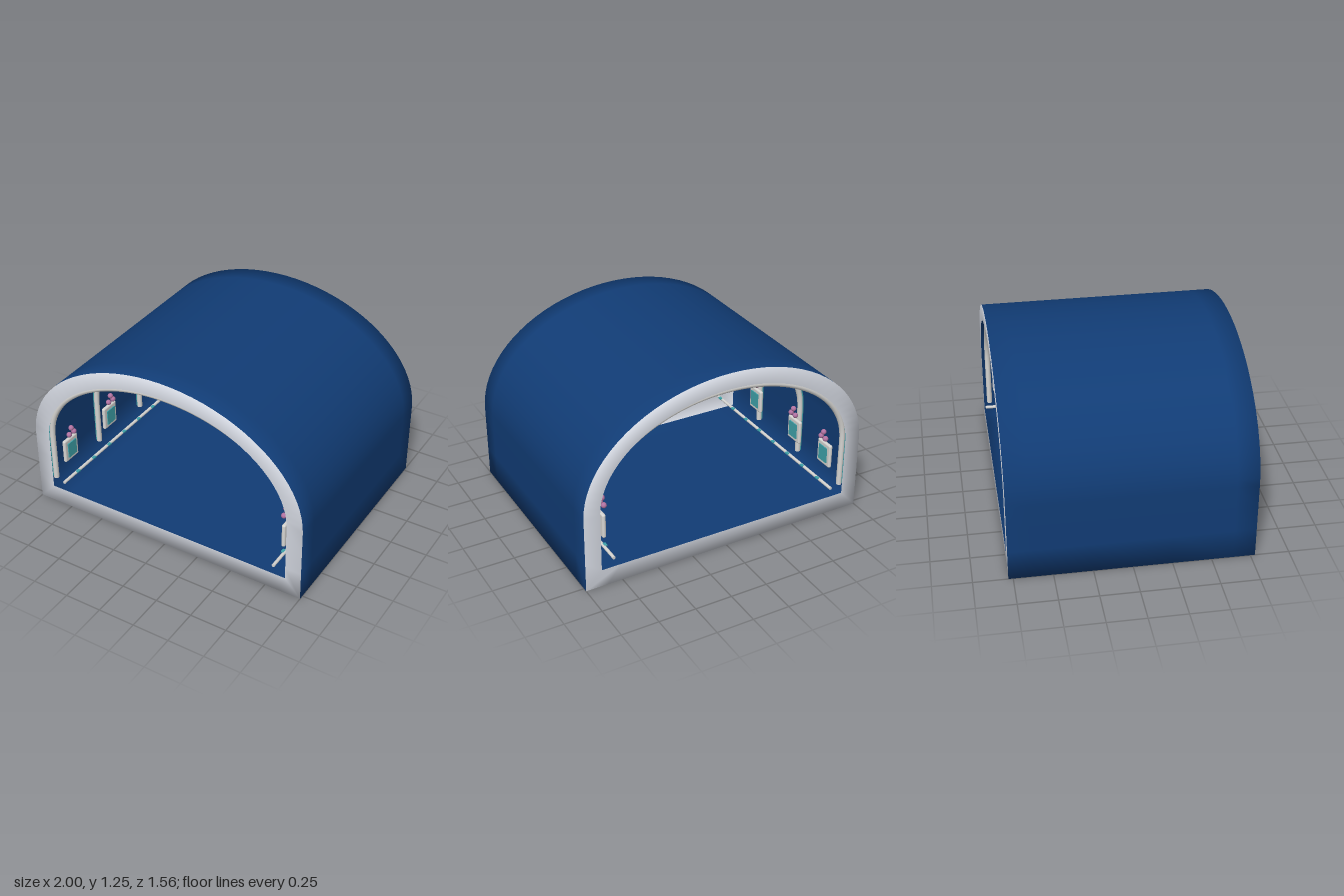
import * as THREE from 'three';
import { RoundedBoxGeometry } from 'three/addons/geometries/RoundedBoxGeometry.js';

const mat = (name, color, side = THREE.FrontSide) => {
  const m = new THREE.MeshStandardMaterial({ color, side });
  m.name = name;
  return m;
};

// Half-ellipse from the right spring point over the top to the left one
const archPoints = (a, b, y0, n) => {
  const pts = [];
  for (let i = 0; i <= n; i++) {
    const t = (Math.PI * i) / n;
    pts.push([a * Math.cos(t), y0 + b * Math.sin(t)]);
  }
  return pts;
};

// Closed loop: floor, walls and vault
const section = (w, floor, vault) => [
  [-w, floor], [-w * 0.85, floor], [w * 0.85, floor], [w, floor],
  [w, 0.2], [w, 0.36],
  ...archPoints(w, vault, 0.52, 40),
  [-w, 0.36], [-w, 0.2],
];

// Thin tunnel skin with a flat border turned inwards at both ends, smooth across the rim
function tunnelGeometry() {
  const outer = section(1, 0, 0.73);
  const inner = section(0.89, 0.12, 0.62);
  const rows = [
    [inner, 0.78], [outer, 0.78], [outer, 0.64], [outer, 0.25],
    [outer, -0.25], [outer, -0.64], [outer, -0.78], [inner, -0.78],
  ];
  const n = outer.length;
  const positions = [];
  const indices = [];
  rows.forEach(([loop, z]) => loop.forEach(([x, y]) => positions.push(x, y, z)));
  const geo = new THREE.BufferGeometry();
  for (let r = 0; r < rows.length - 1; r++) {
    const border = r === 0 || r === rows.length - 2;
    geo.addGroup(indices.length, n * 6, border ? 1 : 0);
    for (let j = 0; j < n; j++) {
      const k = (j + 1) % n;
      const a = r * n + j, b = r * n + k, c = a + n, d = b + n;
      indices.push(a, c, b, b, c, d);
    }
  }
  geo.setAttribute('position', new THREE.Float32BufferAttribute(positions, 3));
  geo.setIndex(indices);
  geo.computeVertexNormals();
  return geo;
}

// Arched tube standing on two straight legs
function archTube(w, top, radius, sides) {
  const y0 = 0.52;
  const pts = [
    [w, 0.17], [w, 0.3], [w, 0.42],
    ...archPoints(w, top - y0, y0, 24),
    [-w, 0.42], [-w, 0.3], [-w, 0.17],
  ].map(([x, y]) => new THREE.Vector3(x, y, 0));
  return new THREE.TubeGeometry(new THREE.CatmullRomCurve3(pts), 72, radius, sides);
}

export function createModel() {
  const model = new THREE.Group();
  model.name = 'tunnel';

  const navy = mat('navy', 0x113c75, THREE.DoubleSide);
  const paleGrey = mat('pale grey', 0xd0d4dd, THREE.DoubleSide);
  const white = mat('warm white', 0xd6d5d2);
  const teal = mat('teal', 0x3fa3ab);
  const mauve = mat('mauve', 0xb273a2);

  const add = (parent, name, geo, material, x = 0, y = 0, z = 0) => {
    const mesh = new THREE.Mesh(geo, material);
    mesh.name = name;
    mesh.position.set(x, y, z);
    parent.add(mesh);
    return mesh;
  };

  add(model, 'tunnelShell', tunnelGeometry(), [navy, paleGrey]);

  // Ribs, each with a slim light strip along its outer side
  const ribGeo = archTube(0.893, 1.118, 0.019, 10);
  const stripGeo = archTube(0.915, 1.14, 0.007, 6);
  for (const z of [0.74, 0.25, -0.25, -0.74]) {
    const rib = new THREE.Group();
    rib.name = 'rib';
    rib.position.z = z;
    add(rib, 'ribTube', ribGeo, white);
    add(rib, 'ribLightStrip', stripGeo, teal);
    model.add(rib);
  }

  // Wall panels with flower buds above, and a handrail with small markers, on both sides
  const panelGeo = new RoundedBoxGeometry(0.026, 0.17, 0.14, 3, 0.012);
  const screenGeo = new THREE.BoxGeometry(0.008, 0.11, 0.085);
  const budGeo = new THREE.SphereGeometry(0.019, 10, 8);
  const railGeo = new THREE.CylinderGeometry(0.011, 0.011, 1.55, 10).rotateX(Math.PI / 2);
  const markerGeo = new THREE.BoxGeometry(0.02, 0.009, 0.03);

  for (const side of [1, -1]) {
    for (const z of [0.645, 0.2, -0.29, -0.645]) {
      const panel = new THREE.Group();
      panel.name = side > 0 ? 'leftWallPanel' : 'rightWallPanel';
      panel.position.z = z;
      add(panel, 'panelFrame', panelGeo, white, side * 0.832, 0.38);
      add(panel, 'panelScreen', screenGeo, teal, side * 0.816, 0.38);
      for (const [y, dz] of [[0.505, -0.025], [0.505, 0.025], [0.545, 0]]) {
        add(panel, 'flowerBud', budGeo, mauve, side * 0.812, y, dz);
      }
      model.add(panel);
    }
    add(model, side > 0 ? 'leftRail' : 'rightRail', railGeo, white, side * 0.803, 0.178, 0);
    for (let i = 0; i < 8; i++) {
      add(model, 'railMarker', markerGeo, teal, side * 0.794, 0.185, -0.63 + i * 0.18);
    }
  }
  return model;
}
